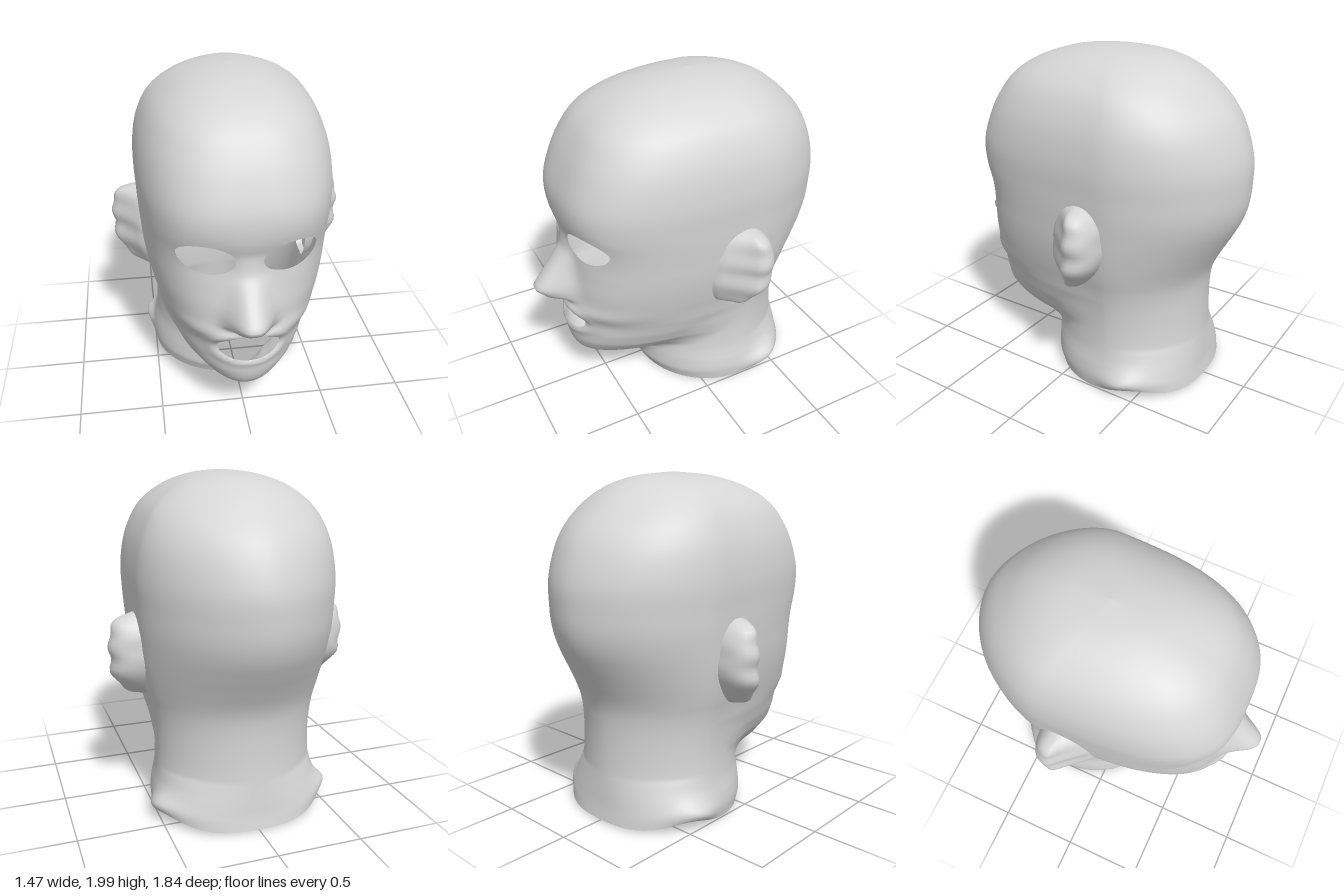
import * as THREE from 'three';

const rubber = new THREE.MeshStandardMaterial({ color: 0xd6d6d6, side: THREE.DoubleSide });
rubber.name = 'grey rubber';

// Head cross-sections: height, front z, back z, half width, front squareness, z of widest point
const SECTIONS = [
  [0.015, 0.23, -0.735, 0.495, 2.0, -0.25],
  [0.09, 0.27, -0.722, 0.502, 2.0, -0.25],
  [0.16, 0.37, -0.715, 0.497, 2.0, -0.26],
  [0.21, 0.48, -0.71, 0.488, 2.0, -0.27],
  [0.26, 0.62, -0.705, 0.48, 2.1, -0.28],
  [0.32, 0.69, -0.70, 0.475, 2.2, -0.28],
  [0.41, 0.72, -0.695, 0.472, 2.3, -0.28],
  [0.50, 0.715, -0.693, 0.475, 2.4, -0.28],
  [0.59, 0.70, -0.695, 0.484, 2.5, -0.28],
  [0.68, 0.745, -0.705, 0.5, 2.6, -0.28],
  [0.76, 0.725, -0.73, 0.52, 2.7, -0.28],
  [0.86, 0.715, -0.78, 0.54, 2.8, -0.28],
  [0.96, 0.705, -0.835, 0.555, 2.85, -0.28],
  [1.06, 0.705, -0.885, 0.563, 2.9, -0.29],
  [1.16, 0.72, -0.915, 0.57, 2.95, -0.3],
  [1.27, 0.74, -0.925, 0.575, 3.0, -0.3],
  [1.42, 0.735, -0.92, 0.58, 3.0, -0.3],
  [1.58, 0.68, -0.87, 0.562, 3.0, -0.3],
  [1.70, 0.62, -0.80, 0.525, 2.95, -0.29],
  [1.80, 0.55, -0.70, 0.47, 2.85, -0.27],
  [1.88, 0.45, -0.60, 0.385, 2.7, -0.24],
  [1.94, 0.31, -0.485, 0.285, 2.5, -0.2],
  [1.98, 0.14, -0.34, 0.16, 2.2, -0.13],
  [2.0, -0.1, -0.1, 0, 2.0, -0.1],
];

// Height against jaw half width; the throat stays behind the jaw
const JAW = [[0.09, 0.2], [0.21, 0.23], [0.26, 0.27], [0.32, 0.34], [0.41, 0.415], [0.5, 0.455], [0.6, 0.485], [0.7, 0.6]];
const THROAT_Z = 0.26;
// Height against squareness of the back
const BACK_SQUARENESS = [[0.08, 2.5], [0.3, 1.85], [0.6, 1.78]];

// Eye and mouth openings: centre, radii, tilt
const HOLES = [
  { x: 0.232, y: 1.152, rx: 0.158, ry: 0.092, tilt: 0.14 },
  { x: -0.232, y: 1.152, rx: 0.158, ry: 0.092, tilt: -0.14 },
  { x: 0, y: 0.59, rx: 0.18, ry: 0.092, tilt: 0 },
];

// 1 on the rim of a hole, less inside, more outside
function rimDistance(h, x, y) {
  const c = Math.cos(h.tilt), s = Math.sin(h.tilt), dx = x - h.x, dy = y - h.y;
  return Math.hypot((dx * c + dy * s) / h.rx, (dy * c - dx * s) / h.ry);
}

// Smooth interpolation along a table of rows
function sampleRows(rows, t) {
  const i = Math.min(Math.floor(t), rows.length - 2), f = t - i;
  const at = (k) => rows[Math.max(0, Math.min(rows.length - 1, k))];
  return rows[0].map((_, n) => {
    const [a, b, c, d] = [at(i - 1)[n], at(i)[n], at(i + 1)[n], at(i + 2)[n]];
    return b + 0.5 * f * (c - a + f * (2 * a - 5 * b + 4 * c - d + f * (3 * (b - c) + d - a)));
  });
}

function lerpTable(table, y) {
  if (y <= table[0][0]) return table[0][1];
  for (let i = 1; i < table.length; i++) {
    const [y0, v0] = table[i - 1], [y1, v1] = table[i];
    if (y <= y1) return v0 + ((v1 - v0) * (y - y0)) / (y1 - y0);
  }
  return table[table.length - 1][1];
}

const NOSE_HEIGHT = [[0.72, 0], [0.74, 0.06], [0.76, 0.14], [0.81, 0.2], [0.93, 0.115], [1.05, 0.03], [1.17, 0]];
const NOSE_WIDTH = [[0.72, 0.125], [0.86, 0.118], [1.1, 0.08]];
const bump = (v, width) => Math.exp(-((v / width) ** 2));

// Nose, eye sockets and lips pushed out of or into the face
function faceRelief(x, y) {
  let dz = lerpTable(NOSE_HEIGHT, y) * Math.exp(-Math.pow(Math.abs(x) / lerpTable(NOSE_WIDTH, y), 2.7));
  for (const h of HOLES) {
    const e = rimDistance(h, x, y);
    dz += h.x === 0 ? 0.018 * bump(e - 1.2, 0.28) : -0.025 * bump(e, 1.25);
  }
  return dz;
}

function makeGeometry(positions, indices) {
  const g = new THREE.BufferGeometry();
  g.setAttribute('position', new THREE.Float32BufferAttribute(positions, 3));
  g.setIndex(indices);
  g.computeVertexNormals();
  return g;
}

// Distance to a superellipse in the direction (s, c)
const reach = (s, c, w, d, p) => Math.pow(Math.abs(s / w) ** p + Math.abs(c / d) ** p, -1 / p);

// Larger of two values, rounded off where they are within k of each other
const smoothMax = (a, b, k) => Math.max(a, b) + (Math.max(k - Math.abs(a - b), 0) ** 2) / (4 * k);

function headGeometry() {
  const sides = 144, steps = 5, rows = (SECTIONS.length - 1) * steps;
  const pos = [], index = [];
  for (let i = 0; i <= rows; i++) {
    const [y, front, back, width, p, zc] = sampleRows(SECTIONS, i / steps);
    const w = Math.max(width, 1e-4), df = Math.max(front - zc, 1e-4), db = Math.max(zc - back, 1e-4);
    const jaw = Math.min(w, lerpTable(JAW, y)), throat = Math.min(front, THROAT_Z) - zc;
    // the jaw melts into the neck, and takes over fully above the mouth
    const melt = 0.1 * Math.min(1, Math.max(0, (0.66 - y) / 0.2));
    for (let j = 0; j < sides; j++) {
      // rings are denser towards the face
      const t = (j / sides) * Math.PI * 2, a = t - 0.4 * Math.sin(t);
      const dir = new THREE.Vector2(w * Math.sin(a), (Math.cos(a) > 0 ? df : db) * Math.cos(a)).normalize();
      let r = reach(dir.x, dir.y, w, db, lerpTable(BACK_SQUARENESS, y));
      if (dir.y > 0) {
        r = reach(dir.x, dir.y, jaw, df, p);
        const blend = melt * dir.y * Math.abs(dir.x) * 2;
        if (y < 0.7) r = smoothMax(r, reach(dir.x, dir.y, w, throat, 2), blend + 1e-5);
      }
      let x = dir.x * r, z = zc + dir.y * r;
      if (z > 0.3) z += faceRelief(x, y) * Math.min(1, (z - 0.3) / 0.2);
      // hem rises behind the sides of the neck, with a small flap sticking out
      const lift = 0.075 * bump(z + 0.48, 0.17) * Math.max(0, 1 - y / 0.35);
      x += Math.sign(x) * 0.065 * bump(z + 0.44, 0.14) * bump(y - 0.06, 0.075);
      pos.push(x, y + lift, z);
    }
  }
  // Skip triangles inside the openings and remember which vertices border them
  const cut = new Map(), kept = new Set();
  const addTriangle = (...tri) => {
    const mid = [0, 1, 2].map((k) => tri.reduce((sum, v) => sum + pos[v * 3 + k], 0) / 3);
    const hole = mid[2] > 0.3 && HOLES.find((h) => rimDistance(h, mid[0], mid[1]) < 1);
    if (hole) return tri.forEach((v) => cut.set(v, hole));
    tri.forEach((v) => kept.add(v));
    index.push(...tri);
  };
  for (let i = 0; i < rows; i++) {
    for (let j = 0; j < sides; j++) {
      const a = i * sides + j, b = i * sides + ((j + 1) % sides);
      addTriangle(a, b, b + sides);
      addTriangle(a, b + sides, a + sides);
    }
  }
  // Slide bordering vertices along the surface onto the clean oval rims
  const old = pos.slice();
  const change = (v, n, k) => old[(v + n) * 3 + k] - old[(v - n) * 3 + k];
  cut.forEach((h, v) => {
    if (!kept.has(v)) return;
    const [x, y] = [old[v * 3], old[v * 3 + 1]], e = rimDistance(h, x, y);
    const dx = (x - h.x) * (1 / e - 1), dy = (y - h.y) * (1 / e - 1);
    const slopeX = v % sides === 0 ? 0 : change(v, 1, 2) / change(v, 1, 0);
    const slopeY = (change(v, sides, 2) - slopeX * change(v, sides, 0)) / change(v, sides, 1);
    pos[v * 3] += dx;
    pos[v * 3 + 1] += dy;
    pos[v * 3 + 2] += dx * slopeX + dy * slopeY;
  });
  return makeGeometry(pos, index);
}

// Ear sections: height, outermost x, front z, back z
const EAR = [
  [0.71, 0.47, -0.03, -0.16], [0.735, 0.61, -0.01, -0.2], [0.8, 0.665, 0.03, -0.26],
  [0.88, 0.725, 0.05, -0.31], [0.96, 0.715, 0.05, -0.33], [1.03, 0.735, 0.04, -0.325],
  [1.1, 0.715, 0.02, -0.32], [1.165, 0.705, -0.02, -0.29], [1.205, 0.64, -0.06, -0.25],
  [1.235, 0.48, -0.1, -0.2],
];
// Fin sweeping outwards and back, then turning in behind: share of width, share of depth
const EAR_OUTLINE = [[0, 0], [0.34, 0.14], [0.54, 0.3], [0.76, 0.48], [1, 0.68], [0.88, 0.9], [0.54, 1], [0, 1]];

function earGeometry(side) {
  const cols = 20, steps = 3, rows = (EAR.length - 1) * steps, root = 0.47;
  const pos = [], index = [];
  for (let i = 0; i <= rows; i++) {
    const [y, tip, zf, zb] = sampleRows(EAR, i / steps);
    const curve = new THREE.CatmullRomCurve3(EAR_OUTLINE.map(([u, v]) =>
      new THREE.Vector3(root + (tip - root) * u, y, zf + (zb - zf) * v)));
    for (let j = 0; j <= cols; j++) {
      const p = curve.getPoint(j / cols);
      pos.push(side * p.x, p.y, p.z);
    }
  }
  for (let i = 0; i < rows; i++) {
    for (let j = 0; j < cols; j++) {
      const a = i * (cols + 1) + j, b = a + 1, d = a + cols + 1, c = d + 1;
      if (side > 0) index.push(a, b, c, a, c, d);
      else index.push(a, c, b, a, d, c);
    }
  }
  return makeGeometry(pos, index);
}

export function createModel() {
  const group = new THREE.Group();
  group.name = 'headMask';
  const add = (name, geometry) => {
    const mesh = new THREE.Mesh(geometry, rubber);
    mesh.name = name;
    group.add(mesh);
  };
  add('head', headGeometry());
  add('leftEar', earGeometry(1));
  add('rightEar', earGeometry(-1));
  return group;
}
